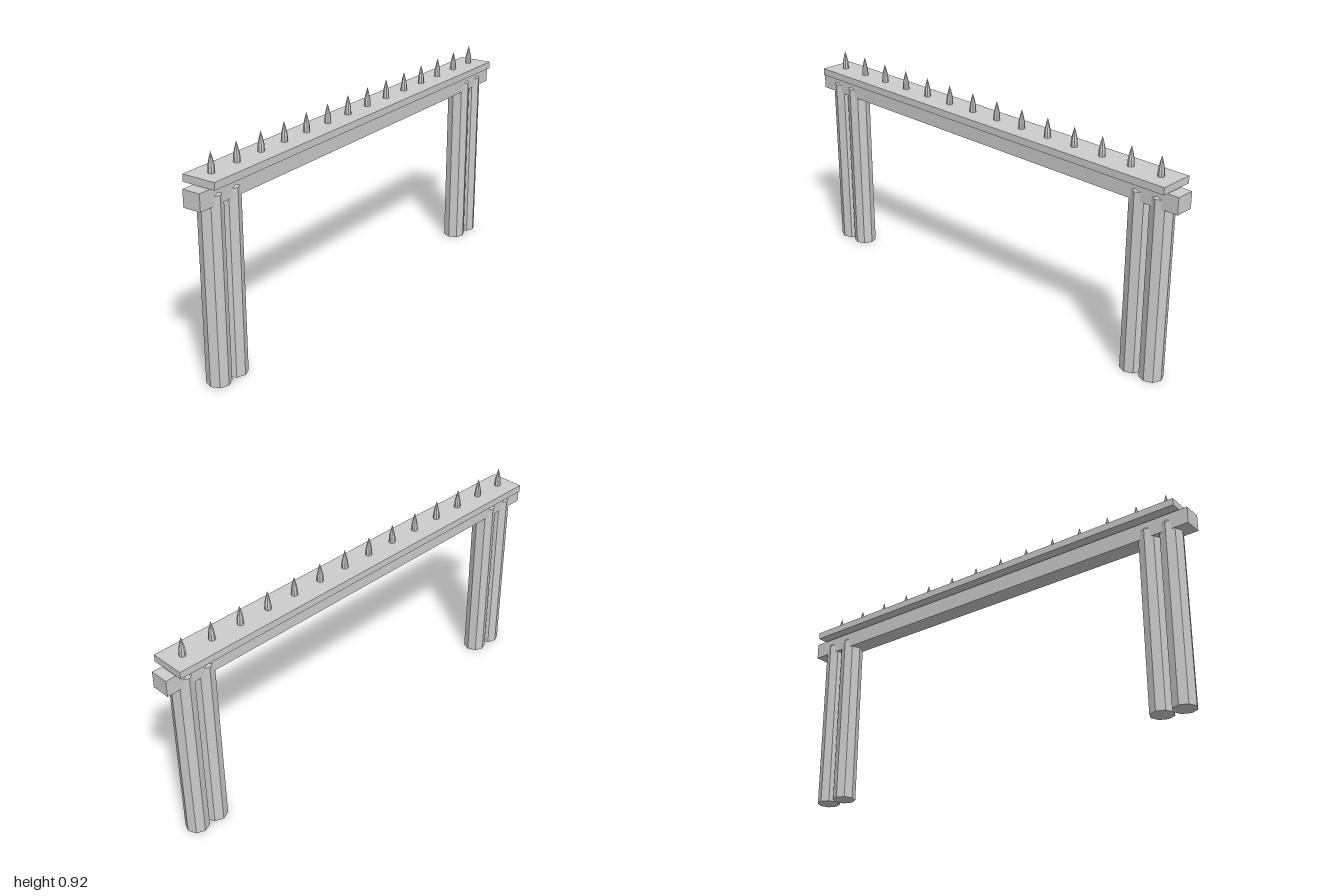
import * as THREE from 'three';

export function createModel() {
  const model = new THREE.Group();
  model.name = 'spikedBarrier';
  const grey = new THREE.MeshStandardMaterial({ color: 0xcccccc });
  grey.name = 'plain grey';

  const add = (name, geometry, x, y, parent = model) => {
    const mesh = new THREE.Mesh(geometry, grey);
    mesh.name = name;
    mesh.position.set(x, y, 0);
    parent.add(mesh);
  };
  // Eight-sided pointed solid with hard facets; one corner faces the front
  const facetedStake = (points) => {
    const profile = points.map(([r, y]) => new THREE.Vector2(r, y));
    const geometry = new THREE.LatheGeometry(profile, 8).toNonIndexed();
    geometry.computeVertexNormals();
    return geometry;
  };

  // Cross beam and the thin plank above it
  add('beam', new THREE.BoxGeometry(2, 0.07, 0.08), 0, 0.769);
  add('plank', new THREE.BoxGeometry(1.92, 0.03, 0.15), 0, 0.826);

  // Paired posts at each end, with pointed tops passing through the beam
  const post = facetedStake([[0, 0], [0.049, 0], [0.049, 0.77], [0, 0.825]]);
  for (const side of [-1, 1]) {
    const pair = new THREE.Group();
    pair.name = side > 0 ? 'leftPosts' : 'rightPosts';
    model.add(pair);
    for (const x of [0.81, 0.905]) add('post', post, side * x, 0, pair);
  }

  // Row of spikes along the plank
  const spike = facetedStake([[0, 0], [0.014, 0], [0.013, 0.04], [0.007, 0.069], [0, 0.094]]);
  const spikes = new THREE.Group();
  spikes.name = 'spikes';
  model.add(spikes);
  for (let i = 0; i < 14; i++) add('spike', spike, -0.892 + i * 0.137, 0.828, spikes);

  return model;
}
